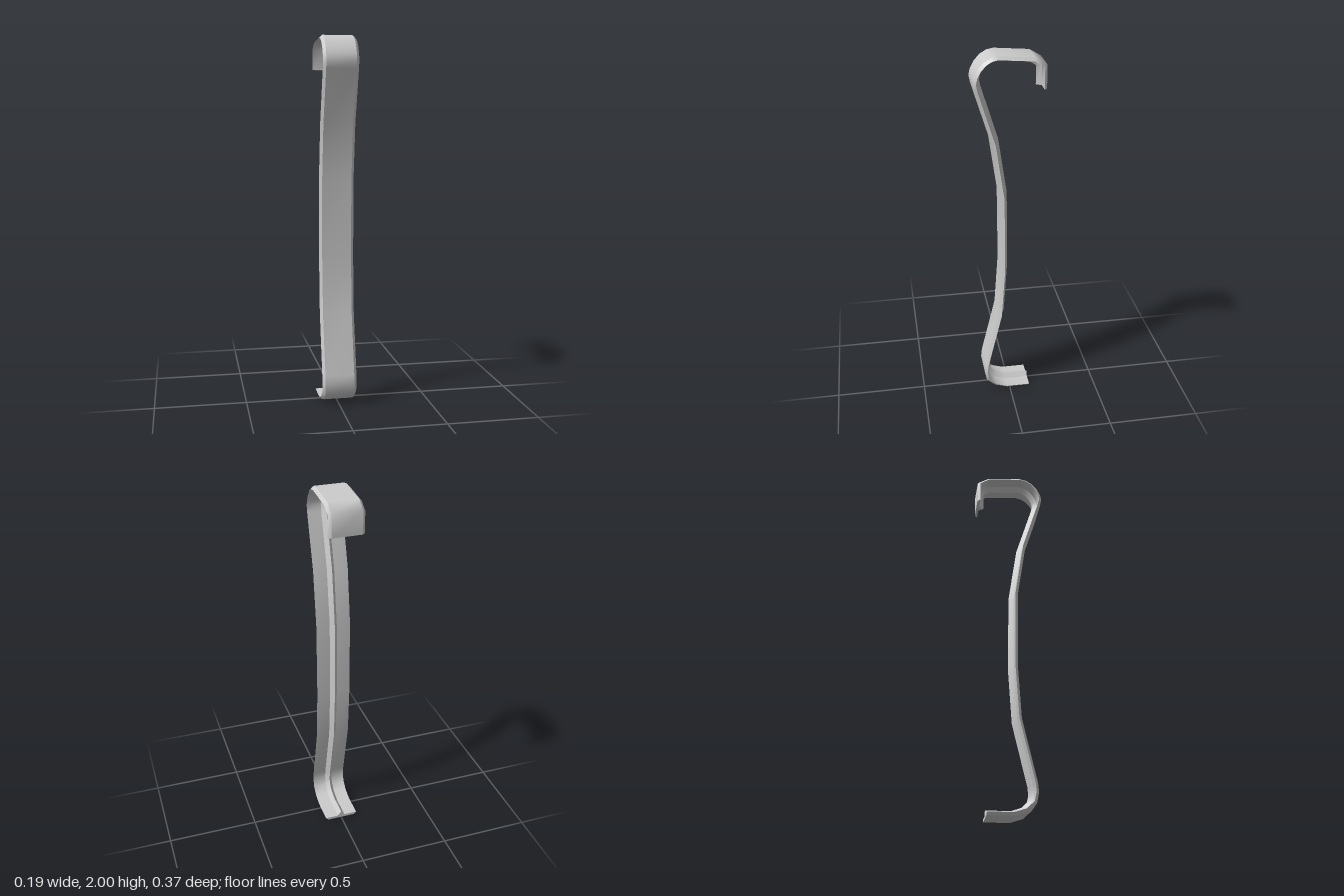
import * as THREE from 'three';

// Outer line of the bent strip as [z, y], from the rear top lip to the rear bottom foot
const PATH = [
  [-0.187, 1.825], [-0.187, 1.948], [-0.125, 1.985], [0.06, 2.0], [0.095, 1.993], [0.13, 1.972],
  [0.16, 1.938], [0.18, 1.9], [0.187, 1.865], [0.179, 1.825], [0.09, 1.537], [0.046, 1.235],
  [0.043, 0.81], [0.063, 0.51], [0.142, 0.175], [0.147, 0.125], [0.136, 0.07], [0.09, 0.026],
  [0.02, 0.003], [-0.115, 0.003],
];

// Cross-section as [x, depth]: flat outside, bevelled edges, flat inside with a central rib
const SECTION = [
  [-0.095, 0.015], [-0.08, 0], [0.08, 0], [0.095, 0.015], [0.02, 0.015], [0, 0.042], [-0.02, 0.015],
];

// Mitred inward direction at each path point
function inwardNormals(path) {
  const pts = path.map(([z, y]) => new THREE.Vector2(z, y));
  const segs = pts.slice(1).map((p, i) => {
    const t = p.clone().sub(pts[i]).normalize();
    return new THREE.Vector2(t.y, -t.x);
  });
  return pts.map((_, i) => {
    const a = segs[Math.max(i - 1, 0)], b = segs[Math.min(i, segs.length - 1)];
    return a.clone().add(b).divideScalar(1 + a.dot(b));
  });
}

function makeGeometry(positions, index) {
  const g = new THREE.BufferGeometry();
  g.setAttribute('position', new THREE.Float32BufferAttribute(positions, 3));
  g.setIndex(index);
  g.computeVertexNormals();
  return g;
}

export function createModel() {
  const group = new THREE.Group();
  group.name = 'bentStripHandle';
  const material = new THREE.MeshStandardMaterial({ color: 0xcccccc });
  const normals = inwardNormals(PATH);
  const place = (i, [x, d]) => [x, PATH[i][1] + normals[i].y * d, PATH[i][0] + normals[i].x * d];
  const add = (name, geometry) => {
    const mesh = new THREE.Mesh(geometry, material);
    mesh.name = name;
    group.add(mesh);
  };

  // One lengthwise band per section side: smooth along the bend, sharp across
  const names = ['rightBevel', 'outerFace', 'leftBevel', 'leftInnerFace', 'leftRibSide', 'rightRibSide', 'rightInnerFace'];
  names.forEach((name, j) => {
    const positions = [], index = [];
    PATH.forEach((_, i) => {
      positions.push(...place(i, SECTION[j]), ...place(i, SECTION[(j + 1) % SECTION.length]));
      if (i > 0) {
        const a = 2 * i - 2;
        index.push(a, a + 2, a + 1, a + 1, a + 2, a + 3);
      }
    });
    add(name, makeGeometry(positions, index));
  });

  // Caps that close the two ends
  const faces = THREE.ShapeUtils.triangulateShape(SECTION.map(([x, d]) => new THREE.Vector2(x, d)), []);
  add('topEnd', makeGeometry(SECTION.flatMap((s) => place(0, s)), faces.flat()));
  add('bottomEnd', makeGeometry(SECTION.flatMap((s) => place(PATH.length - 1, s)),
    faces.flatMap(([a, b, c]) => [a, c, b])));

  return group;
}
